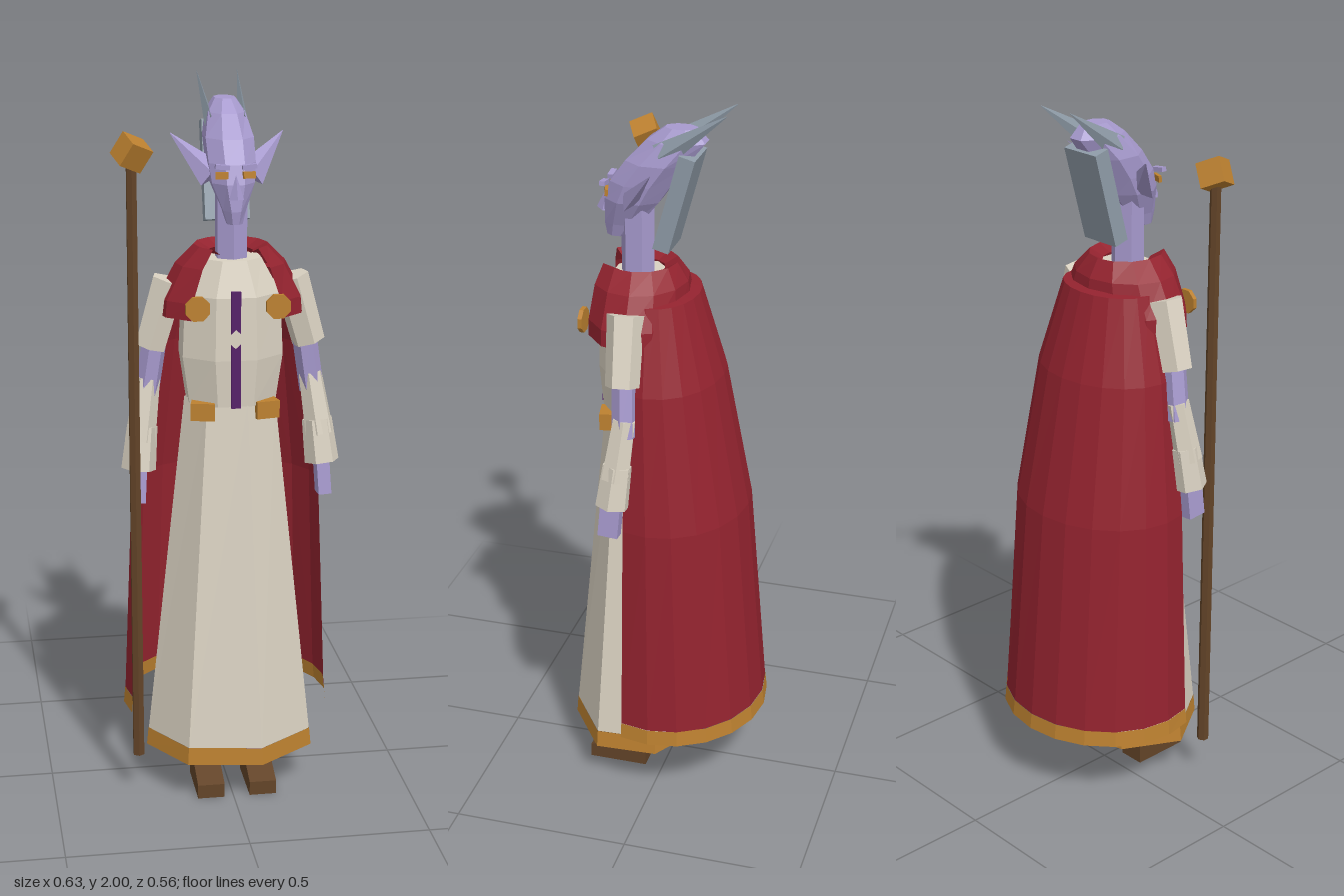
import * as THREE from 'three';

const mat = (name, color) => {
  const m = new THREE.MeshStandardMaterial({ color, flatShading: true, side: THREE.DoubleSide });
  m.name = name;
  return m;
};
const CX = 0.01; // body midline
const TAU = Math.PI * 2;
const rad = THREE.MathUtils.degToRad;

// Skin of elliptical rings [y, centreZ, radiusX, radiusZ]; an arc below 360 degrees stays open
function loft(rings, sides, startDeg = 0, spanDeg = 360, caps = false) {
  const pos = [], idx = [], row = sides + 1;
  for (const [y, cz, rx, rz] of rings)
    for (let j = 0; j <= sides; j++) {
      const a = rad(startDeg + spanDeg * j / sides);
      pos.push(CX + rx * Math.sin(a), y, cz + rz * Math.cos(a));
    }
  for (let i = 0; i < rings.length - 1; i++)
    for (let j = 0; j < sides; j++) {
      const a = i * row + j, b = a + row;
      idx.push(a, a + 1, b + 1, a, b + 1, b);
    }
  if (caps) {
    const top = (rings.length - 1) * row;
    for (let j = 1; j < sides - 1; j++) idx.push(0, j + 1, j, top, top + j, top + j + 1);
  }
  const g = new THREE.BufferGeometry();
  g.setAttribute('position', new THREE.Float32BufferAttribute(pos, 3));
  g.setIndex(idx);
  g.computeVertexNormals();
  return g;
}

export function createModel() {
  const skin = mat('lavender skin', 0xa79ace);
  const cream = mat('cream cloth', 0xdad2c2);
  const red = mat('crimson cloth', 0x94232f);
  const gold = mat('gold', 0xbd8130);
  const brown = mat('brown', 0x634428);
  const purple = mat('purple trim', 0x551f68);
  const slate = mat('slate hair', 0x8f9ca8);

  const model = new THREE.Group();
  model.name = 'robedFigure';
  const add = (name, geo, material, p = [0, 0, 0], r = [0, 0, 0]) => {
    const m = new THREE.Mesh(geo, material);
    m.name = name;
    m.position.set(...p);
    m.rotation.set(...r);
    model.add(m);
    return m;
  };
  const box = (name, size, material, p, r) => add(name, new THREE.BoxGeometry(...size), material, p, r);
  // Tapered prism from point a to point b
  const limb = (name, a, b, ra, rb, sides, material, open = false) => {
    const A = new THREE.Vector3(...a), B = new THREE.Vector3(...b), d = B.clone().sub(A);
    const m = add(name, new THREE.CylinderGeometry(rb, ra, d.length(), sides, 1, open), material,
      A.clone().add(B).multiplyScalar(0.5).toArray());
    m.quaternion.setFromUnitVectors(new THREE.Vector3(0, 1, 0), d.normalize());
    return m;
  };

  // Robe: seven-sided skirt with hem, and a faceted bodice
  add('skirt', loft([[0.17, 0.085, 0.236, 0.196], [1.15, 0.085, 0.128, 0.1]], 7, 15), cream);
  add('skirtHem', loft([[0.12, 0.085, 0.242, 0.201], [0.17, 0.085, 0.237, 0.197]], 7, 15), gold);
  add('bodice', loft([[1.14, 0.085, 0.128, 0.105], [1.27, 0.085, 0.148, 0.115], [1.44, 0.085, 0.14, 0.11],
    [1.535, 0.09, 0.085, 0.075]], 8, 22.5, 360, true), cream);
  // Purple front strips meeting at a notched gap
  const strip = (name, y0, y1, notch) => {
    const s = new THREE.Shape([[-0.013, y0], [0, y0 + (notch > 0 ? 0 : 0.012)], [0.013, y0],
      [0.013, y1], [0, y1 - (notch > 0 ? 0.012 : 0)], [-0.013, y1]].map(([x, y]) => new THREE.Vector2(x, y)));
    add(name, new THREE.ExtrudeGeometry(s, { depth: 0.008, bevelEnabled: false }), purple, [CX - 0.002, 0, 0.191]);
  };
  strip('lowerStrip', 1.14, 1.315, 1);
  strip('upperStrip', 1.345, 1.46, -1);

  // Cape wrapping the back, with gold trim, and the shoulder mantle
  add('cape', loft([[0.255, -0.01, 0.291, 0.264], [0.87, 0, 0.266, 0.222], [1.26, 0.02, 0.215, 0.167],
    [1.49, 0.03, 0.15, 0.107], [1.495, 0.03, 0.09, 0.04]], 12, 72, 216), red);
  add('capeTrim', loft([[0.21, -0.01, 0.296, 0.27], [0.255, -0.01, 0.292, 0.265]], 12, 72, 216), gold);
  add('mantle', loft([[1.385, 0.085, 0.202, 0.142], [1.43, 0.085, 0.198, 0.142], [1.52, 0.085, 0.15, 0.13],
    [1.57, 0.09, 0.1, 0.105], [1.55, 0.09, 0.06, 0.07]], 10, 37, 286), red);

  // Neck and head, swept back toward the crown
  limb('neck', [CX, 1.48, 0.095], [CX, 1.72, 0.095], 0.046, 0.046, 6, skin);
  add('head', loft([[1.635, 0.15, 0.022, 0.03], [1.67, 0.135, 0.033, 0.052], [1.74, 0.105, 0.062, 0.08],
    [1.79, 0.08, 0.068, 0.09], [1.85, 0.037, 0.07, 0.09], [1.91, -0.015, 0.054, 0.085],
    [1.945, -0.025, 0.03, 0.045]], 8, 22.5, 360, true), skin);
  const nose = add('nose', new THREE.ConeGeometry(0.02, 0.065, 4), skin, [CX, 1.735, 0.182], [-0.15, 0, 0]);
  nose.scale.z = 1.1;
  box('hairBack', [0.122, 0.27, 0.045], slate, [CX, 1.75, -0.02], [-0.27, 0, 0]);

  // Mirrored parts
  for (const s of [1, -1]) {
    const side = s > 0 ? 'left' : 'right';
    const X = (x) => CX + s * x;
    // Face
    box(side + 'Eye', [0.034, 0.018, 0.009], gold, [X(0.036), 1.765, 0.17], [-0.1, s * 0.3, 0]);
    box(side + 'Brow', [0.038, 0.012, 0.016], skin, [X(0.036), 1.788, 0.176], [0, 0, s * 0.12]);
    limb(side + 'Ear', [X(0.05), 1.755, 0.1], [X(0.152), 1.857, 0.015], 0.042, 0.001, 4, skin).scale.z = 0.55;
    const horn = limb(side + 'Horn', [X(0.044), 1.875, 0.02], [X(0.056), 2.0, -0.16], 0.035, 0.001, 4, slate);
    horn.scale.x = 0.45;
    // Clasps and belt plates
    add(side + 'Clasp', new THREE.CylinderGeometry(0.035, 0.035, 0.012, 8), gold,
      [X(0.108), 1.422, 0.217], [Math.PI / 2, rad(22.5), 0]);
    box(side + 'BeltPlate', [0.065, 0.048, 0.05], gold, [X(0.085), 1.127, 0.155], [0, s * 0.2, 0]);
    // Arm and sleeves
    limb(side + 'Shoulder', [X(0.165), 1.475, 0.08], [X(0.218), 1.29, 0.075], 0.05, 0.046, 6, cream);
    limb(side + 'UpperArm', [X(0.2), 1.35, 0.075], [X(0.23), 1.15, 0.068], 0.034, 0.034, 6, skin);
    limb(side + 'ForearmSleeve', [X(0.225), 1.2, 0.068], [X(0.25), 1.03, 0.088], 0.034, 0.042, 6, cream);
    limb(side + 'Cuff', [X(0.243), 1.07, 0.082], [X(0.256), 0.95, 0.095], 0.042, 0.048, 6, cream);
    box(side + 'Hand', [0.036, 0.12, 0.056], skin, [X(0.256), 0.92, 0.1], [-0.08, 0, s * 0.06]);
    // Leg and wedge boot
    box(side + 'Leg', [0.055, 0.6, 0.055], skin, [X(0.073), 0.38, 0.085]);
    const boot = new THREE.BoxGeometry(0.076, 0.1, 0.17);
    const bp = boot.attributes.position;
    for (let i = 0; i < bp.count; i++)
      if (bp.getY(i) > 0 && bp.getZ(i) > 0) bp.setY(i, -0.01);
    boot.computeVertexNormals();
    add(side + 'Boot', boot, brown, [X(0.074), 0.05, 0.136]);
  }

  // Staff with a tilted cube head
  limb('staff', [-0.262, 0.12, 0.152], [-0.262, 1.8, 0.152], 0.017, 0.015, 6, brown);
  box('staffHead', [0.068, 0.068, 0.068], gold, [-0.26, 1.828, 0.15], [0.4, 0.3, -0.55]);

  return model;
}
